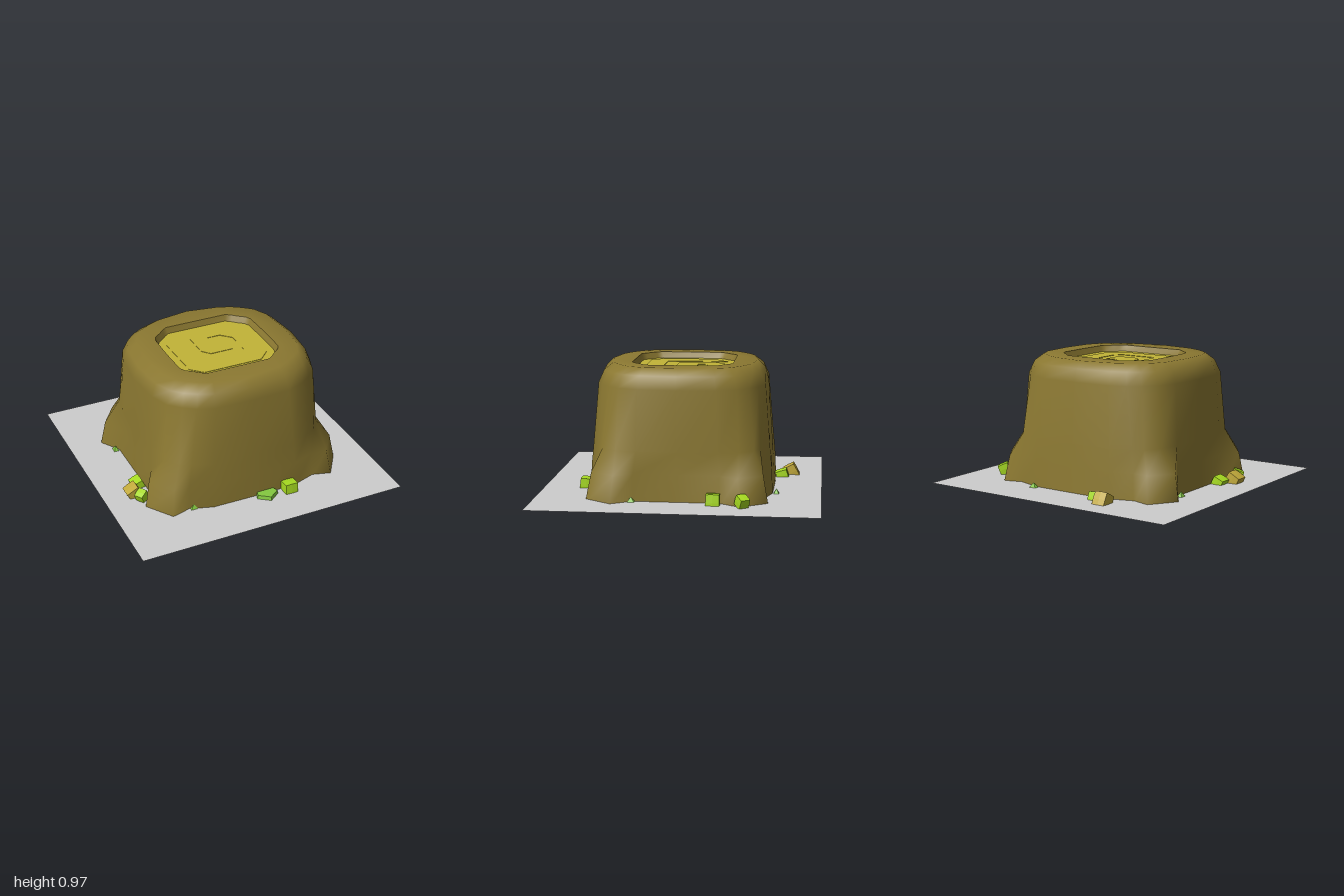
import * as THREE from 'three';

const mat = (name, color, opts = {}) => {
  const m = new THREE.MeshStandardMaterial({ color, ...opts });
  m.name = name;
  return m;
};

// Mirror a quarter outline [x, z] (from +x round to +z) into a full ring of 24 points
function fullRing(q) {
  const rev = q.slice().reverse();
  return [
    ...q,
    ...rev.slice(1).map(([x, z]) => [-x, z]),
    ...q.slice(1).map(([x, z]) => [-x, -z]),
    ...rev.slice(1, -1).map(([x, z]) => [x, -z]),
  ];
}

// Skin a stack of rings, each { y, q }
function loft(levels) {
  const pos = [], idx = [], n = 24;
  levels.forEach(({ y, q }) => fullRing(q).forEach(([x, z]) => pos.push(x, y, z)));
  for (let i = 0; i < levels.length - 1; i++) {
    for (let j = 0; j < n; j++) {
      const a = i * n + j, b = i * n + (j + 1) % n;
      idx.push(a, a + n, b, b, a + n, b + n);
    }
  }
  const g = new THREE.BufferGeometry();
  g.setAttribute('position', new THREE.Float32BufferAttribute(pos, 3));
  g.setIndex(idx);
  g.computeVertexNormals();
  return g;
}

// Flat plate lying face up from [x, z] points
function plate(points) {
  const s = new THREE.Shape(points.map(([x, z]) => new THREE.Vector2(x, -z)));
  return s;
}

// Cube with softly pulled-in corners
function pebbleGeometry() {
  const g = new THREE.BoxGeometry(1, 1, 1, 2, 2, 2);
  const p = g.attributes.position, v = new THREE.Vector3();
  for (let i = 0; i < p.count; i++) {
    v.fromBufferAttribute(p, i);
    v.multiplyScalar(1 - 0.2 * Math.max(0, v.length() - 0.5));
    p.setXYZ(i, v.x, v.y, v.z);
  }
  return g;
}

export function createModel() {
  const group = new THREE.Group();
  const bark = mat('bark', 0x8b7831, { side: THREE.DoubleSide });
  const wood = mat('cutWood', 0xc2b437);
  const ground = mat('ground', 0xcccccc, { side: THREE.DoubleSide });
  const lime = mat('lime', 0xa6da20, { flatShading: true });
  const leaf = mat('leafGreen', 0x84c840, { flatShading: true });
  const ochre = mat('ochre', 0xc0a83a, { flatShading: true });

  const add = (name, geo, material, p = [0, 0, 0], r = [0, 0, 0], s = [1, 1, 1]) => {
    const m = new THREE.Mesh(geo, material);
    m.name = name;
    m.position.set(...p);
    m.rotation.set(...r);
    m.scale.set(...s);
    group.add(m);
    return m;
  };

  // Ground sheet
  add('groundSheet', new THREE.PlaneGeometry(2, 2), ground, [0, 0.065, 0], [-Math.PI / 2, 0, 0]);

  // Trunk: flared corner roots, straight body, rounded shoulder
  const rim = [[0.385, 0], [0.38, 0.22], [0.36, 0.26], [0.31, 0.30], [0.28, 0.33], [0.24, 0.36], [0, 0.36]];
  const trunk = [
    { y: 0.035, q: [[0.665, 0], [0.665, 0.30], [0.76, 0.45], [0.63, 0.64], [0.49, 0.60], [0.32, 0.655], [0, 0.66]] },
    { y: 0.25, q: [[0.655, 0], [0.65, 0.30], [0.72, 0.43], [0.60, 0.60], [0.48, 0.59], [0.32, 0.645], [0, 0.645]] },
    { y: 0.41, q: [[0.645, 0], [0.635, 0.28], [0.60, 0.43], [0.53, 0.53], [0.45, 0.57], [0.31, 0.63], [0, 0.635]] },
    { y: 0.84, q: [[0.64, 0], [0.615, 0.27], [0.565, 0.41], [0.485, 0.49], [0.40, 0.55], [0.28, 0.595], [0, 0.605]] },
    { y: 0.93, q: [[0.605, 0], [0.58, 0.26], [0.525, 0.39], [0.455, 0.46], [0.375, 0.51], [0.27, 0.555], [0, 0.58]] },
    { y: 0.98, q: [[0.54, 0], [0.52, 0.24], [0.47, 0.35], [0.40, 0.41], [0.34, 0.45], [0.25, 0.49], [0, 0.53]] },
    { y: 0.98, q: rim },
  ];
  add('trunk', loft(trunk), bark);

  // Recess wall and cut face
  const inner = rim.map(([x, z]) => [x * 0.95, z * 0.95]);
  add('recessWall', loft([{ y: 0.98, q: rim }, { y: 0.935, q: inner }]), bark);
  add('cutFace', new THREE.ShapeGeometry(plate(fullRing(inner))), wood, [0, 0.936, 0], [-Math.PI / 2, 0, 0]);

  // Growth ring: one slightly raised spiral band
  const spiral = [
    [-0.17, -0.295], [-0.31, -0.18], [-0.30, 0.20], [-0.22, 0.28], [0.22, 0.28], [0.30, 0.20], [0.30, -0.20],
    [0.22, -0.28], [-0.05, -0.28], [-0.12, -0.21], [-0.12, 0], [-0.07, 0.06], [0.10, 0.06], [0.10, -0.09],
    [0, -0.09], [0, -0.16], [0.10, -0.16], [0.17, -0.09], [0.17, 0.10], [0.12, 0.15], [-0.16, 0.15],
  ];
  add('growthRing', new THREE.ExtrudeGeometry(plate(spiral), { depth: 0.003, bevelEnabled: false }),
    wood, [0, 0.936, 0], [-Math.PI / 2, 0, 0]);

  // Chunky pebbles: material, position, rotation, size
  const cube = pebbleGeometry();
  [
    [lime, [-0.26, 0.07, -0.705], [0.3, 0, 0], [0.10, 0.09, 0.09]],
    [lime, [0.70, 0.08, -0.26], [0, 0, 0.1], [0.09, 0.125, 0.10]],
    [lime, [0.765, 0.105, -0.465], [0, 0.6, -0.4], [0.08, 0.08, 0.075]],
    [lime, [0.255, 0.075, 0.695], [-0.1, 0, 0], [0.10, 0.125, 0.09]],
    [lime, [-0.71, 0.07, 0.175], [0, 0, 0.4], [0.085, 0.09, 0.10]],
    [lime, [-0.75, 0.10, 0.36], [0, 0.6, 0.4], [0.075, 0.08, 0.07]],
    [ochre, [-0.355, 0.078, -0.77], [0.5, 0, 0], [0.105, 0.115, 0.10]],
    [ochre, [-0.775, 0.078, 0.27], [0, 0, 0.5], [0.10, 0.115, 0.105]],
  ].forEach(([m, p, r, s]) => add('pebble', cube, m, p, r, s));

  // Flat five-sided stone against the front
  add('flatStone', new THREE.CylinderGeometry(0.08, 0.095, 0.06, 5), leaf, [0.08, 0.062, 0.67], [0, 0, 0]);

  // Small pointed shards, one on each side
  const shard = new THREE.ConeGeometry(1, 1, 4, 1).rotateY(Math.PI / 4);
  [
    [0.315, -0.68, 0], [-0.455, 0.605, 0], [0.68, 0.31, Math.PI / 2], [-0.69, -0.31, Math.PI / 2],
  ].forEach(([x, z, turn]) => add('shard', shard, leaf, [x, 0.066, z], [0, turn, 0], [0.07, 0.07, 0.05]));

  return group;
}
